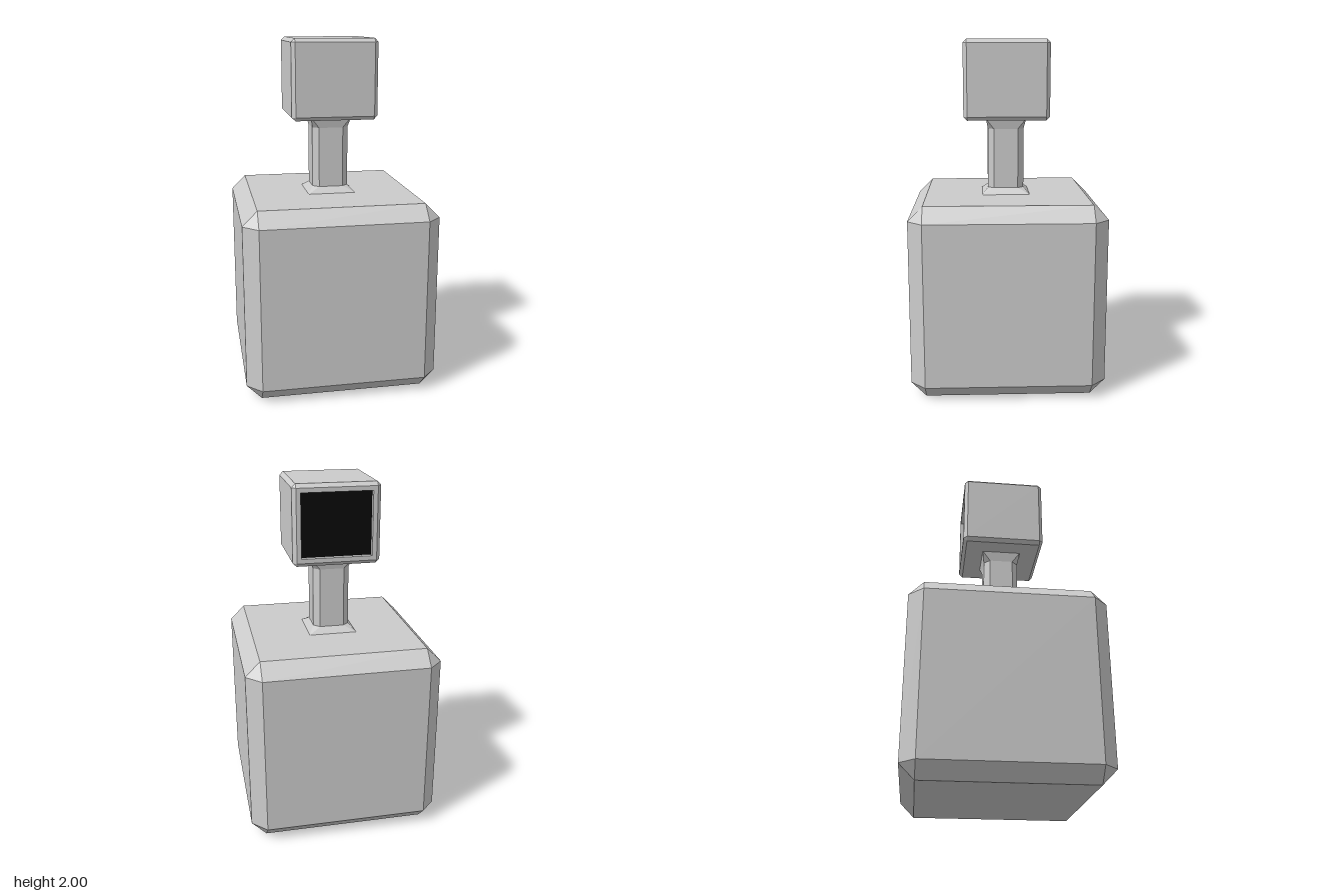
import * as THREE from 'three';

const grey = new THREE.MeshStandardMaterial({ color: 0xcccccc, flatShading: true });
const black = new THREE.MeshStandardMaterial({ color: 0x080808 });

// Eight-point ring: half width h, flat half width f (f = h gives a square)
const ring = (h, f) => [[f, h], [h, f], [h, -f], [f, -h], [-f, -h], [-h, -f], [-h, f], [-f, h]];

// Closed loft through sections [y, h, f]; openSide = [section, side] is left out
function loft(name, sections, openSide = []) {
  const rings = sections.map(([y, h, f]) => ring(h, f).map(([x, z]) => new THREE.Vector3(x, y, z)));
  const positions = [];
  const tri = (a, b, c) => {
    if (a.equals(b) || b.equals(c) || c.equals(a)) return;
    for (const p of [a, b, c]) positions.push(p.x, p.y, p.z);
  };
  for (let s = 0; s < rings.length - 1; s++) {
    for (let i = 0; i < 8; i++) {
      if (s === openSide[0] && i === openSide[1]) continue;
      const j = (i + 1) % 8, lo = rings[s], hi = rings[s + 1];
      tri(lo[i], lo[j], hi[j]);
      tri(lo[i], hi[j], hi[i]);
    }
  }
  const bottom = rings[0], top = rings[rings.length - 1];
  for (let i = 1; i < 7; i++) {
    tri(bottom[0], bottom[i + 1], bottom[i]);
    tri(top[0], top[i], top[i + 1]);
  }
  const geometry = new THREE.BufferGeometry();
  geometry.setAttribute('position', new THREE.Float32BufferAttribute(positions, 3));
  geometry.computeVertexNormals();
  const mesh = new THREE.Mesh(geometry, grey);
  mesh.name = name;
  return mesh;
}

// Sections of a box with all edges chamfered by c
const chamferedBox = (y0, y1, h, c) => [
  [y0, h - c, h - c], [y0 + c, h, h - c], [y1 - c, h, h - c], [y1, h - c, h - c],
];

function rectangle(target, w, h) {
  target.moveTo(-w, -h).lineTo(w, -h).lineTo(w, h).lineTo(-w, h).closePath();
  return target;
}

export function createModel() {
  const model = new THREE.Group();
  model.name = 'cubeFigure';

  // Large chamfered body
  model.add(loft('body', chamferedBox(0, 1.106, 0.553, 0.084)));

  // Octagonal neck flaring to a square at both ends
  model.add(loft('neck', [
    [1.105, 0.14, 0.14], [1.142, 0.105, 0.07], [1.49, 0.105, 0.07], [1.55, 0.117, 0.117],
  ]));

  // Head, open at the back for the screen
  const y0 = 1.548, y1 = 2, half = 0.245, c = 0.021, depth = 0.03;
  const head = new THREE.Group();
  head.name = 'head';
  head.add(loft('headShell', chamferedBox(y0, y1, half, c), [1, 3]));

  // Frame around the recess
  const w = half - c, h = (y1 - y0) / 2 - c, border = 0.025, midY = (y0 + y1) / 2;
  const shape = rectangle(new THREE.Shape(), w, h);
  shape.holes.push(rectangle(new THREE.Path(), w - border, h - border));
  const frame = new THREE.Mesh(
    new THREE.ExtrudeGeometry(shape, { depth, bevelEnabled: false }), grey);
  frame.name = 'screenFrame';
  frame.position.set(0, midY, -half);

  // Dark screen at the bottom of the recess
  const screen = new THREE.Mesh(
    new THREE.PlaneGeometry(2 * (w - border), 2 * (h - border)), black);
  screen.name = 'screen';
  screen.rotation.y = Math.PI;
  screen.position.set(0, midY, -half + depth);
  head.add(frame, screen);
  model.add(head);

  return model;
}
